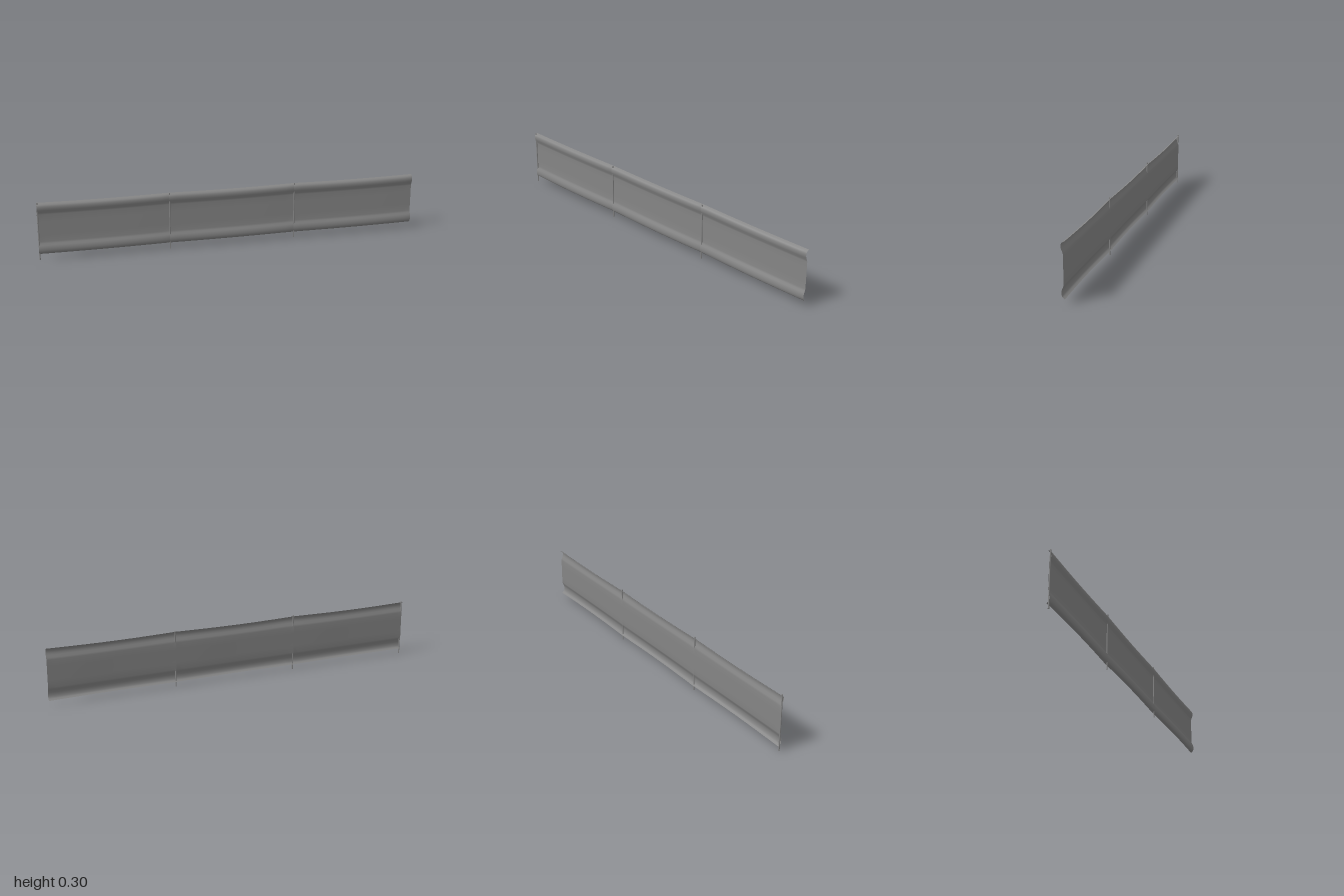
import * as THREE from 'three';

const BAYS = 3;
const BAY_LENGTH = 2 / BAYS;
const POST_RADIUS = 0.0034;

// Sheet cross-section as [z, y], bottom lip to top lip: two rolled beads around a flat web
const lowerBead = [[-0.008, 0.028], [0.001, 0.034], [0.006, 0.041], [0.0075, 0.052], [0.0075, 0.064], [0.004, 0.075], [0, 0.084], [-0.003, 0.094]];
const upperBead = [[-0.003, 0.236], [0, 0.246], [0.005, 0.258], [0.008, 0.268], [0.008, 0.279], [0.005, 0.288], [-0.002, 0.293], [-0.01, 0.297]];
const web = [0.13, 0.165, 0.2].map((y) => [-0.003, y]);
const profile = [...lowerBead, ...web, ...upperBead];

// One sheet panel, slightly bowed and sagging between its posts
function panelGeometry() {
  const steps = 16;
  const rows = profile.length - 1;
  const geometry = new THREE.PlaneGeometry(BAY_LENGTH, 1, steps, rows);
  const position = geometry.attributes.position;
  for (let i = 0; i < position.count; i++) {
    const column = i % (steps + 1);
    const row = rows - Math.floor(i / (steps + 1));
    const [z, y] = profile[row];
    const bow = Math.sin((Math.PI * column) / steps);
    const height = row / rows;
    position.setY(i, y - 0.004 * bow * height);
    position.setZ(i, z + bow * (0.0055 - 0.0075 * height));
  }
  geometry.computeVertexNormals();
  return geometry;
}

export function createModel() {
  const group = new THREE.Group();
  const color = 0x858585;
  const material = new THREE.MeshStandardMaterial({ color });
  const sheetMaterial = new THREE.MeshStandardMaterial({ color, side: THREE.DoubleSide });
  const panel = panelGeometry();
  const postGeometry = new THREE.CylinderGeometry(POST_RADIUS, POST_RADIUS, 0.3, 10);

  for (let i = 0; i < BAYS; i++) {
    const left = -1 + i * BAY_LENGTH;

    // Barrier sheet
    const sheet = new THREE.Mesh(panel, sheetMaterial);
    sheet.name = 'barrierPanel' + (i + 1);
    sheet.position.x = left + BAY_LENGTH / 2;
    group.add(sheet);

    // Support post at the start of each bay, just in front of the web
    const post = new THREE.Mesh(postGeometry, material);
    post.name = 'post' + (i + 1);
    post.position.set(left + POST_RADIUS, 0.15, 0.0005);
    group.add(post);
  }
  return group;
}
